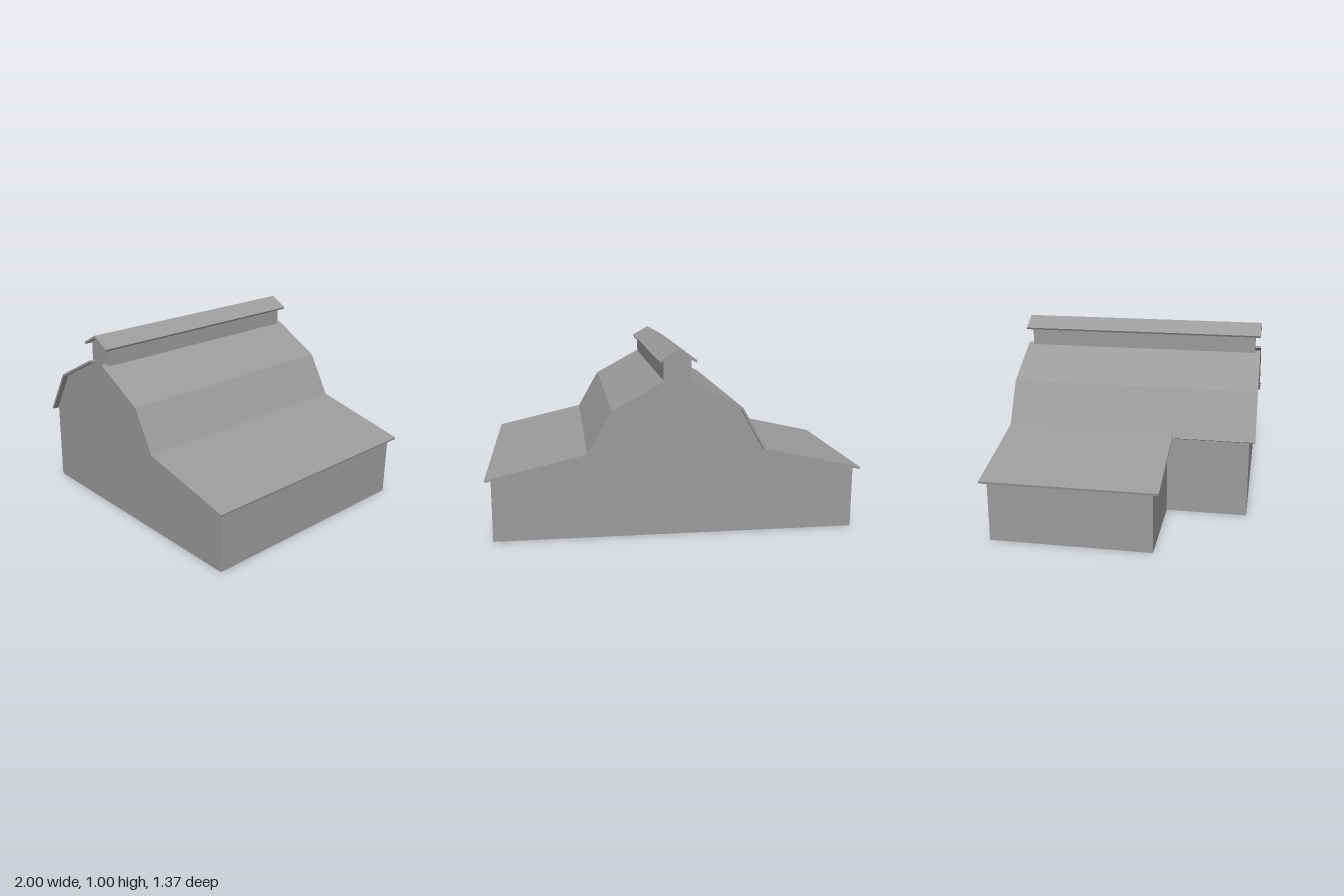
import * as THREE from 'three';

const WALL_Z = 0.654, ROOF_Z = 0.686, WING_WALL_Z = 0.207, WING_ROOF_Z = 0.239;
const THICK = 0.012;

const material = new THREE.MeshStandardMaterial({
  color: 0x9b9b9b, flatShading: true, side: THREE.DoubleSide,
});

const mirror = (pts) => pts.map(([x, y]) => [-x, y]).reverse();
const toShape = (pts) => new THREE.Shape(pts.map(([x, y]) => new THREE.Vector2(x, y)));

// Bent roof sheet: a line running left to right, thickened downwards with mitred corners
function roof(name, line, z0, z1) {
  const pts = line.map(([x, y]) => new THREE.Vector2(x, y));
  const normals = pts.slice(1).map((p, i) => {
    const d = p.clone().sub(pts[i]).normalize();
    return new THREE.Vector2(d.y, -d.x);
  });
  const under = pts.map((p, i) => {
    const a = normals[Math.max(i - 1, 0)];
    const b = normals[Math.min(i, normals.length - 1)];
    const m = a.clone().add(b).normalize();
    return p.clone().addScaledVector(m, THICK / m.dot(a));
  });
  const shape = new THREE.Shape([...pts, ...under.reverse()]);
  const geo = new THREE.ExtrudeGeometry(shape, { depth: z1 - z0, bevelEnabled: false });
  geo.translate(0, 0, z0);
  const mesh = new THREE.Mesh(geo, material);
  mesh.name = name;
  return mesh;
}

// Thin wall parallel to the front
function crossWall(name, outline, z) {
  const mesh = new THREE.Mesh(new THREE.ShapeGeometry(toShape(outline)), material);
  mesh.position.z = z;
  mesh.name = name;
  return mesh;
}

// Thin wall running front to back, facing the +x or -x side
function sideWall(name, x, y0, y1, z0, z1) {
  const mesh = new THREE.Mesh(new THREE.PlaneGeometry(z1 - z0, y1 - y0), material);
  mesh.rotation.y = Math.sign(x) * Math.PI / 2;
  mesh.position.set(x, (y0 + y1) / 2, (z0 + z1) / 2);
  mesh.name = name;
  return mesh;
}

export function createModel() {
  const barn = new THREE.Group();
  barn.name = 'barn';

  // Wall profiles: one half with a wing, one half without
  const upper = [[0.341, 0.68], [0.073, 0.827], [0.073, 0.947]];
  const wingHalf = [[0.97, 0], [0.97, 0.343], [0.469, 0.456], ...upper];
  const plainHalf = [[0.465, 0], [0.465, 0.45], ...upper];
  const peak = [0, 0.988];

  // Gable walls, with the ridge monitor ends included
  barn.add(crossWall('frontGable', [...wingHalf, peak, ...mirror(plainHalf)], WALL_Z));
  barn.add(crossWall('backGable', [...wingHalf, peak, ...mirror(wingHalf)], -WALL_Z));
  barn.add(crossWall('rightWingFrontWall',
    [[-0.97, 0], [-0.465, 0], [-0.465, 0.455], [-0.97, 0.343]], WING_WALL_Z));

  // Side walls
  barn.add(sideWall('leftWingWall', 0.97, 0, 0.343, -WALL_Z, WALL_Z));
  barn.add(sideWall('rightWingWall', -0.97, 0, 0.343, -WALL_Z, WING_WALL_Z));
  barn.add(sideWall('rightMainWall', -0.465, 0, 0.45, WING_WALL_Z, WALL_Z));
  for (const s of [-1, 1]) {
    barn.add(sideWall(s > 0 ? 'leftMonitorWall' : 'rightMonitorWall',
      s * 0.073, 0.827, 0.947, -WALL_Z, WALL_Z));
  }

  // Gambrel roofs sweeping out over the wings
  const gambrel = [[0.055, 0.844], [0.345, 0.686]];
  const wingRoof = [...gambrel, [0.473, 0.462], [1, 0.342]];
  const shortRoof = [...gambrel, [0.485, 0.441]];
  barn.add(roof('leftRoof', wingRoof, -ROOF_Z, ROOF_Z));
  barn.add(roof('rightRoof', mirror(wingRoof), -ROOF_Z, WING_ROOF_Z));
  barn.add(roof('rightFrontRoof', mirror(shortRoof), WING_ROOF_Z, ROOF_Z));

  // Ridge monitor roof
  barn.add(roof('monitorRoof', [[-0.1, 0.939], [0, 0.995], [0.1, 0.939]], -ROOF_Z, ROOF_Z));

  return barn;
}
